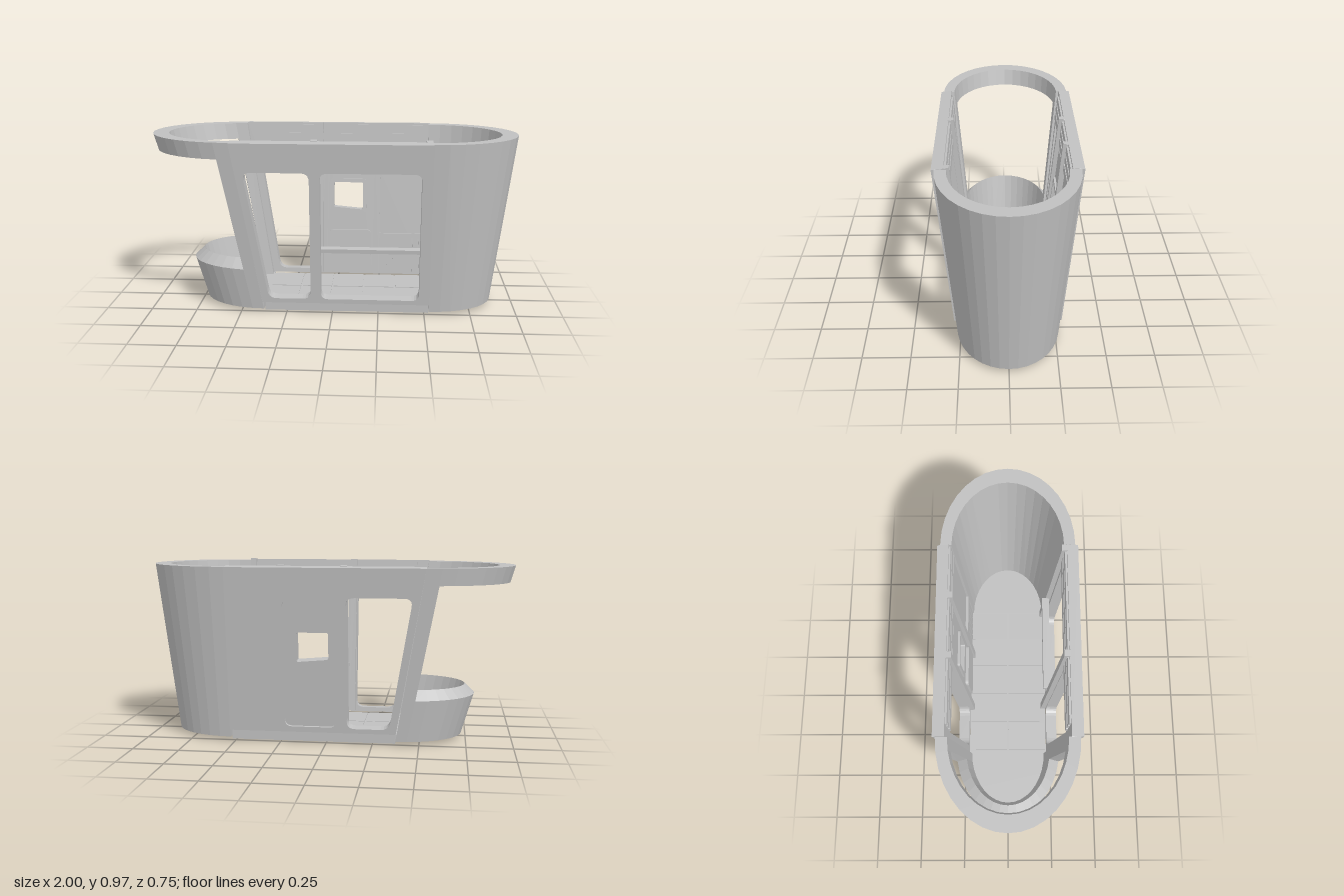
import * as THREE from 'three';

const grey = new THREE.MeshStandardMaterial({ color: 0xc0c0c0 });
grey.name = 'light grey';

const Y0 = 0.022, Y1 = 0.955;
const mix = (a, b, t) => a + (b - a) * t;

function add(parent, geometry, name) {
  const mesh = new THREE.Mesh(geometry, grey);
  mesh.name = name;
  parent.add(mesh);
  return mesh;
}

// Polygon with rounded corners, usable as outline or hole
function rounded(path, pts, r) {
  pts.forEach((p, i) => {
    const c = new THREE.Vector2(...p);
    const prev = new THREE.Vector2(...pts[(i + pts.length - 1) % pts.length]);
    const next = new THREE.Vector2(...pts[(i + 1) % pts.length]);
    const a = c.clone().add(prev.sub(c).setLength(r));
    const b = c.clone().add(next.sub(c).setLength(r));
    if (i === 0) path.moveTo(a.x, a.y); else path.lineTo(a.x, a.y);
    path.quadraticCurveTo(c.x, c.y, b.x, b.y);
  });
  path.closePath();
  return path;
}
const rect = (x0, x1, y0, y1) => [[x0, y0], [x1, y0], [x1, y1], [x0, y1]];

// Plate lying in the leaning side wall, from depth d0 to d1 behind its outer face
function wallPlate(parent, name, side, pts, d0, d1, r = 0.001, holes = []) {
  const shape = rounded(new THREE.Shape(), pts, r);
  holes.forEach(([h, hr]) => shape.holes.push(rounded(new THREE.Path(), h, hr)));
  const geo = new THREE.ExtrudeGeometry(shape, { depth: d1 - d0, bevelEnabled: false, curveSegments: 5 });
  const p = geo.attributes.position;
  for (let i = 0; i < p.count; i++) {
    const y = p.getY(i), e = p.getZ(i);
    const d = side > 0 ? d1 - e : d0 + e;
    p.setXYZ(i, p.getX(i), y + 0.1 * d, side * (0.285 + (y - 0.065) * 0.101 - d));
  }
  geo.computeVertexNormals();
  return add(parent, geo, name);
}

// Point on an end wall: the half ellipse grows upward and leans outward
function endPoint(side, y, angle, inner) {
  const t = (y - Y0) / (Y1 - Y0);
  const cx = side > 0 ? 0.525 : mix(0.375, 0.53, t);
  const a = mix(0.352, 0.472, t) - (inner ? mix(0.06, 0.088, t) : 0);
  const b = mix(0.268, 0.36, t) - (inner ? 0.06 : 0);
  return [side * (cx + a * Math.cos(angle)), y, b * Math.sin(angle)];
}

// Faceted curved shell between two angles, closed at both ends
function endShell(parent, name, side, yLow, yOut, yIn, a0, a1, n) {
  const sections = [];
  for (let i = 0; i <= n; i++) {
    const a = mix(a0, a1, i / n);
    sections.push([
      endPoint(side, yLow, a, false), endPoint(side, yOut, a, false),
      endPoint(side, yIn, a, true), endPoint(side, yLow, a, true),
    ]);
  }
  const out = [];
  const quad = (a, b, c, d) => {
    const q = side > 0 ? [a, b, c, a, c, d] : [a, c, b, a, d, c];
    q.forEach((v) => out.push(...v));
  };
  for (let i = 0; i < n; i++) {
    const s = sections[i], t = sections[i + 1];
    for (let k = 0; k < 4; k++) {
      const m = (k + 1) % 4;
      quad(s[k], s[m], t[m], t[k]);
    }
  }
  quad(...[...sections[0]].reverse());
  quad(...sections[n]);
  const geo = new THREE.BufferGeometry();
  geo.setAttribute('position', new THREE.Float32BufferAttribute(out, 3));
  geo.computeVertexNormals();
  add(parent, geo, name);
}

function box(parent, name, x0, x1, y0, y1, z0, z1) {
  const m = add(parent, new THREE.BoxGeometry(x1 - x0, y1 - y0, z1 - z0), name);
  m.position.set((x0 + x1) / 2, (y0 + y1) / 2, (z0 + z1) / 2);
}

export function createModel() {
  const model = new THREE.Group();
  model.name = 'cabin';
  const H = Math.PI / 2;

  // Floor: middle slab, tiles and rounded end plates
  const floor = new THREE.Group();
  floor.name = 'floor';
  model.add(floor);
  box(floor, 'floorSlab', -0.372, 0.525, 0, 0.06, -0.225, 0.225);
  for (let i = 0; i < 5; i++) {
    const x = -0.362 + i * 0.177;
    for (const s of [-1, 1]) {
      box(floor, 'floorTile', x, x + 0.167, 0.06, 0.065,
        s > 0 ? 0.005 : -0.22, s > 0 ? 0.22 : -0.005);
    }
  }
  for (const s of [-1, 1]) {
    const shape = new THREE.Shape();
    shape.absellipse(s > 0 ? 0.525 : -0.372, 0, 0.345, 0.262, s > 0 ? -H : H, s > 0 ? H : 3 * H);
    const geo = new THREE.ExtrudeGeometry(shape, { depth: 0.038, bevelEnabled: false, curveSegments: 18 });
    geo.rotateX(-H);
    geo.translate(0, Y0, 0);
    add(floor, geo, 'endFloor');
  }

  // Closed end, and open end with low wall, pillars and top ring
  endShell(model, 'closedEndWall', 1, Y0, Y1, Y1, -H, H, 18);
  endShell(model, 'lowEndWall', -1, Y0, 0.25, 0.3, -H, H, 18);
  endShell(model, 'topRing', -1, 0.865, Y1, Y1, -H, H, 18);
  const w = 0.175;
  endShell(model, 'endPillar', -1, 0.25, 0.865, 0.865, -H, -H + w, 1);
  endShell(model, 'endPillar', -1, 0.25, 0.865, 0.865, H - w, H, 1);

  // Leaning side walls
  const outline = [[-0.378, 0.065], [0.525, 0.065], [0.525, 0.955], [-0.53, 0.955]];
  const windowHole = [[-0.342, 0.09], [-0.115, 0.09], [-0.115, 0.8], [-0.463, 0.8]];
  for (const s of [1, -1]) {
    const wall = new THREE.Group();
    wall.name = s > 0 ? 'frontWall' : 'backWall';
    model.add(wall);
    const doorHole = s > 0 ? rect(-0.06, 0.47, 0.09, 0.8) : rect(-0.06, 0.22, 0.095, 0.79);
    wallPlate(wall, 'wallPanel', s, outline, 0, 0.06, 0.001, [[windowHole, 0.045], [doorHole, 0.04]]);

    // Inner ribs and stepped boards under the top edge
    const ribs = s > 0 ? [[-0.11, -0.075], [0.488, 0.523]] : [[-0.118, -0.083], [0.215, 0.25]];
    for (const [a, b] of ribs) wallPlate(wall, 'innerRib', s, rect(a, b, 0.07, 0.957), 0.055, 0.088);
    for (let i = 0; i < 3; i++) {
      const y = 0.808 + i * 0.05;
      wallPlate(wall, 'headerBoard', s, rect(-0.46, 0.52, y, y + 0.036), 0.055, 0.07);
    }
  }

  // Rail across the front doorway
  const front = model.getObjectByName('frontWall');
  wallPlate(front, 'doorRail', 1, rect(-0.076, 0.488, 0.33, 0.352), 0.07, 0.11);

  // Back door, set into its frame, with a small window
  const back = model.getObjectByName('backWall');
  const pane = [[-0.02, 0.465], [0.15, 0.45], [0.15, 0.61], [-0.02, 0.61]];
  wallPlate(back, 'backDoor', -1, rect(-0.06, 0.22, 0.095, 0.79), 0.015, 0.068, 0.04, [[pane, 0.01]]);
  wallPlate(back, 'doorWindowFrame', -1, rect(-0.04, 0.17, 0.43, 0.63), 0.065, 0.08, 0.015, [[pane, 0.01]]);
  wallPlate(back, 'doorLowerPad', -1, rect(-0.045, 0.2, 0.155, 0.33), 0.065, 0.085, 0.025);

  // Slatted panel beside the back door
  wallPlate(back, 'slatCap', -1, rect(0.25, 0.52, 0.28, 0.31), 0.055, 0.075);
  for (let i = 0; i < 7; i++) {
    const x = 0.255 + i * 0.038;
    wallPlate(back, 'slat', -1, rect(x, x + 0.03, 0.08, 0.28), 0.055, 0.07);
  }
  return model;
}
